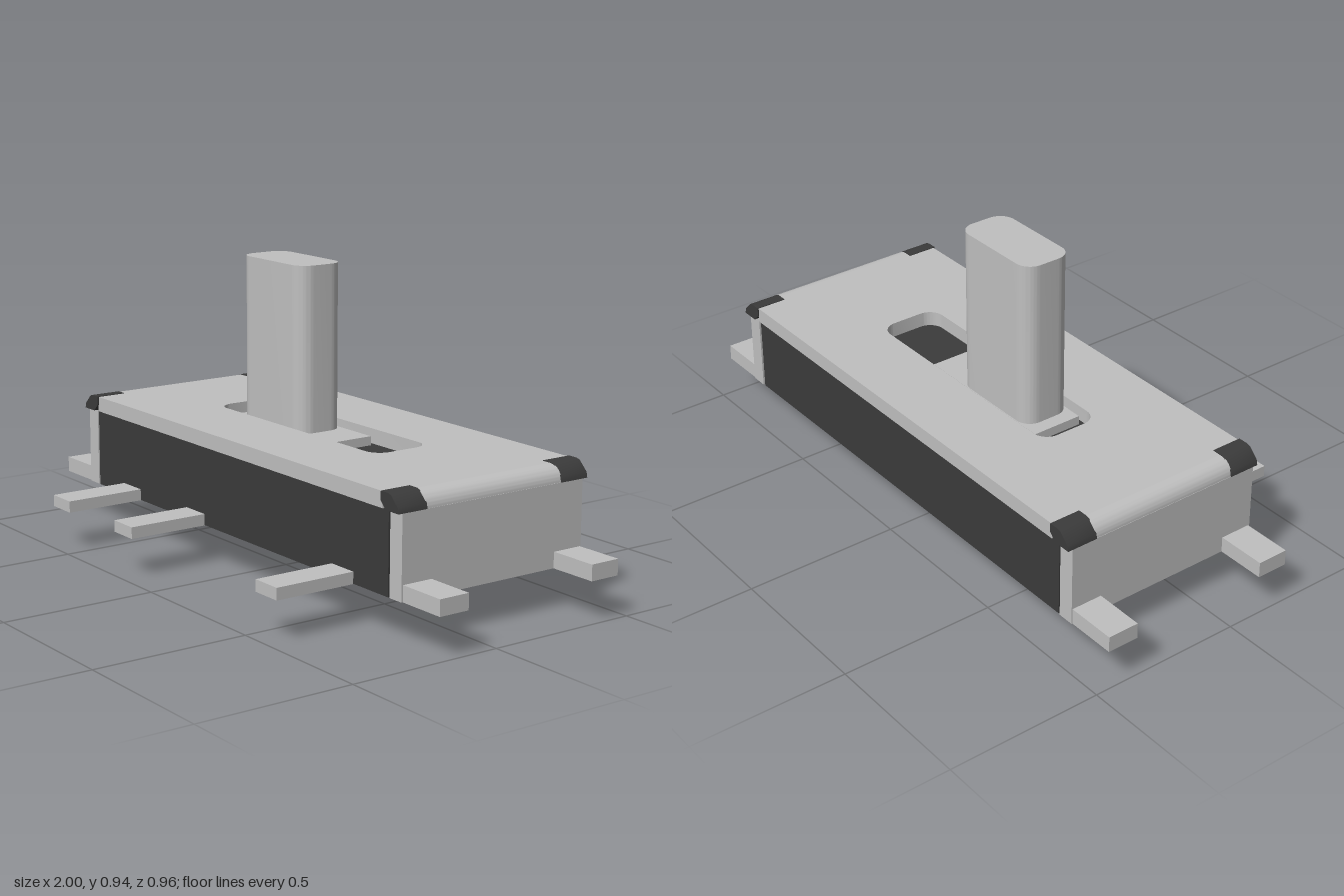
import * as THREE from 'three';
import { toCreasedNormals } from 'three/addons/utils/BufferGeometryUtils.js';

const metal = new THREE.MeshStandardMaterial({ color: 0xc0c0c0 });
metal.name = 'light grey';
const plastic = new THREE.MeshStandardMaterial({ color: 0x3b3b3b });
plastic.name = 'charcoal';

const CZ = -0.127; // middle of the body in z

export function createModel() {
  const group = new THREE.Group();
  group.name = 'slideSwitch';

  const add = (name, geometry, material) => {
    const mesh = new THREE.Mesh(geometry, material);
    mesh.name = name;
    group.add(mesh);
    return mesh;
  };

  // Box given by its extents
  const box = (name, material, x0, x1, y0, y1, z0, z1) => {
    const g = new THREE.BoxGeometry(x1 - x0, y1 - y0, z1 - z0);
    g.translate((x0 + x1) / 2, (y0 + y1) / 2, (z0 + z1) / 2);
    return add(name, g, material);
  };

  const extrude = (shape, depth) => toCreasedNormals(
    new THREE.ExtrudeGeometry(shape, { depth, bevelEnabled: false, curveSegments: 8 }), 0.6);

  // Plan outline (x, -z) raised from y0 to y1
  const slab = (shape, y0, y1) => extrude(shape, y1 - y0).rotateX(-Math.PI / 2).translate(0, y0, 0);

  // Rounded rectangle, with plan coordinates (x, -z)
  const rounded = (path, x0, x1, z0, z1, r) => {
    const a = -z1, b = -z0, q = Math.PI / 2;
    path.moveTo(x0 + r, a);
    path.absarc(x1 - r, a + r, r, -q, 0);
    path.absarc(x1 - r, b - r, r, 0, q);
    path.absarc(x0 + r, b - r, r, q, 2 * q);
    path.absarc(x0 + r, a + r, r, 2 * q, 3 * q);
    return path;
  };

  // Plastic body
  box('body', plastic, -0.78, 0.78, 0.13, 0.386, -0.46, 0.21);

  // Metal cover with notched corners and a slot
  const zF = 0.22, zB = -0.475, nF = 0.125, nB = -0.38, xi = 0.765, xo = 0.79;
  const cover = new THREE.Shape([
    [-xi, -zF], [xi, -zF], [xi, -nF], [xo, -nF], [xo, -nB], [xi, -nB],
    [xi, -zB], [-xi, -zB], [-xi, -nB], [-xo, -nB], [-xo, -nF], [-xi, -nF],
  ].map(([x, y]) => new THREE.Vector2(x, y)));
  cover.holes.push(rounded(new THREE.Path(), -0.42, 0.415, -0.232, -0.03, 0.05));
  add('coverTop', slab(cover, 0.385, 0.434), metal);

  // Bent cover edge
  const bend = new THREE.Shape();
  bend.moveTo(0.79, 0.385);
  bend.lineTo(0.84, 0.385);
  bend.absarc(0.79, 0.385, 0.049, 0, Math.PI / 2);
  bend.closePath();

  // Dark corner bead
  const bead = new THREE.Shape();
  bead.moveTo(0.785, 0.385);
  bead.lineTo(0.842, 0.385);
  bead.lineTo(0.838, 0.402);
  bead.lineTo(0.808, 0.432);
  bead.lineTo(0.795, 0.436);
  bead.lineTo(0.762, 0.436);
  bead.lineTo(0.762, 0.408);
  bead.closePath();

  for (const side of [-1, 1]) {
    const ends = (a, b) => [Math.min(side * a, side * b), Math.max(side * a, side * b)];
    const turn = (g) => (side < 0 ? g.rotateY(Math.PI).translate(0, 0, 2 * CZ) : g);

    box('endPlate', metal, ...ends(0.787, 0.84), 0.13, 0.385, -0.462, 0.21);
    add('coverBend', turn(extrude(bend, nF - nB).translate(0, 0, nB)), metal);
    for (const [z, length] of [[0.123, 0.102], [-0.479, 0.102]]) {
      add('cornerBead', turn(extrude(bead, length).translate(0, 0, z)), plastic);
    }
    // Mounting tabs
    for (const z of [0.154, -0.408]) {
      box('mountingTab', metal, ...ends(0.835, 1), 0.13, 0.18, z - 0.051, z + 0.051);
    }
  }

  // Contact pins along the front
  for (const x of [-0.573, -0.195, 0.57]) {
    box('contactPin', metal, x - 0.051, x + 0.051, 0.129, 0.166, 0.15, 0.477);
  }

  // Slider in the slot, with its tall knob
  box('slider', metal, -0.355, 0.155, 0.36, 0.415, -0.213, -0.047);
  add('knob', slab(rounded(new THREE.Shape(), -0.31, 0.018, -0.21, -0.044, 0.05), 0.41, 0.943), metal);

  // Chamfered locating pegs underneath
  const pegProfile = [[0, 0], [0.063, 0], [0.088, 0.026], [0.088, 0.135]]
    .map(([r, y]) => new THREE.Vector2(r, y));
  for (const x of [-0.385, 0.38]) {
    const g = toCreasedNormals(new THREE.LatheGeometry(pegProfile, 32).toNonIndexed(), 0.5);
    add('locatingPeg', g.translate(x, 0, CZ), plastic);
  }

  return group;
}
